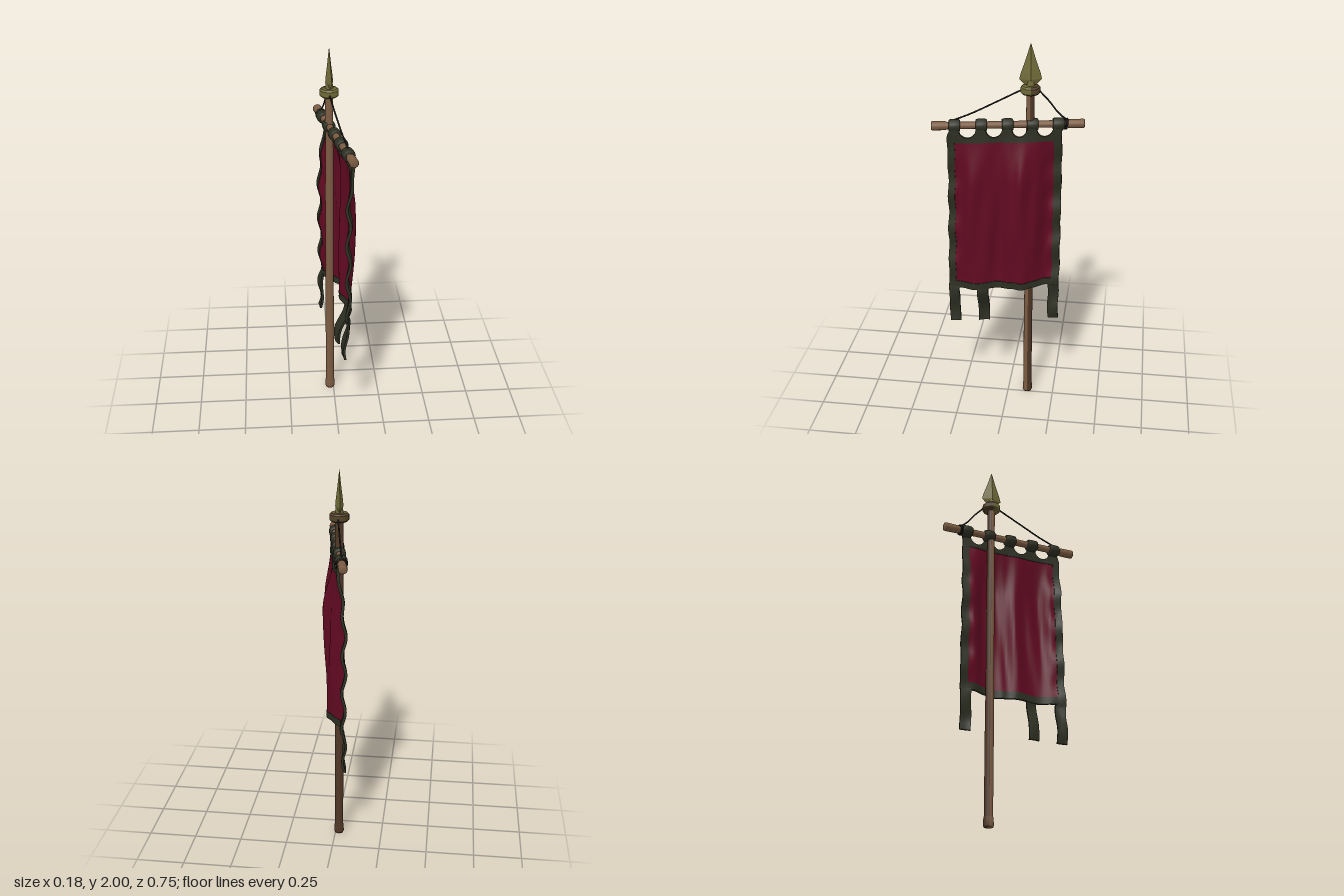
import * as THREE from 'three';

const mat = (name, color) => new THREE.MeshStandardMaterial({ name, color });
const V = (x, y, z) => new THREE.Vector3(x, y, z);
const { clamp, smoothstep, lerp } = THREE.MathUtils;

const BAR_Y = 1.59, POLE_X = -0.019, POLE_Z = -0.107;
const TABS = [0.26, 0.13, 0.003, -0.118, -0.245];

// x of the crossbar's axis at a given z
const barX = (z) => 0.18 * z - 0.001;

// Depth of the cloth folds across the banner: [z, offset from the bar]
const FOLDS = [
  [-0.28, -0.012], [-0.2, -0.016], [-0.13, 0.046], [-0.07, 0.074], [-0.02, 0.058],
  [0.04, 0.022], [0.11, 0.046], [0.18, 0.053], [0.24, 0.014], [0.32, -0.01],
];
function fold(z) {
  let i = 0;
  while (i < FOLDS.length - 2 && z > FOLDS[i + 1][0]) i++;
  const [z0, a] = FOLDS[i], [z1, b] = FOLDS[i + 1];
  return lerp(a, b, smoothstep(clamp(z, z0, z1), z0, z1));
}

// x of the hanging cloth at (y, z)
function clothX(y, z) {
  const drop = smoothstep(1.58 - y, 0, 0.3);
  const lower = 1 - 0.25 * smoothstep(1.1 - y, 0, 0.42);
  let off = lerp(0.02, fold(z) * lower, drop);
  off = lerp(off, -0.02, smoothstep(0.69 - y, 0, 0.22));
  const edge = smoothstep(Math.abs(z - 0.02), 0.19, 0.26);
  off += drop * edge * 0.01 * Math.sin(y * 31 + z * 5);
  off += drop * (1 - edge) * 0.005 * Math.sin(z * 55 + y * 9);
  if (y < 0.68) off += 0.006 * Math.sin((0.68 - y) * 28 + z * 9);
  return barX(z) + off;
}

// A thin slab of cloth bent along the folds; top(z) may shape its upper edge
function cloth(z0, z1, y0, y1, thick, top) {
  const ny = Math.max(2, Math.ceil((y1 - y0) / 0.018));
  const nz = Math.max(3, Math.ceil((z1 - z0) / (top ? 0.006 : 0.012)));
  const g = new THREE.BoxGeometry(thick, 1, 1, 1, ny, nz);
  const p = g.attributes.position;
  for (let i = 0; i < p.count; i++) {
    const z = lerp(z0, z1, p.getZ(i) + 0.5);
    const y = lerp(y0, top ? top(z) : y1, p.getY(i) + 0.5);
    const flare = 0.014 * smoothstep(z, 0.15, 0.28) * clamp((1.55 - y) / 0.85, 0, 1);
    const ragged = Math.abs(z - 0.02) > 0.2 ? 0.002 * Math.sin(y * 38) : 0;
    p.setXYZ(i, clothX(y, z) + p.getX(i), y, z + flare + ragged);
  }
  g.computeVertexNormals();
  return g;
}

const lathe = (pts, n, start = 0, length = Math.PI * 2) =>
  new THREE.LatheGeometry(pts.map(([r, y]) => new THREE.Vector2(r, y)), n, start, length);
function flat(g) {
  const f = g.toNonIndexed();
  f.computeVertexNormals();
  return f;
}

export function createModel() {
  const root = new THREE.Group();
  root.name = 'banner';
  const wood = mat('wood', 0x7b5b42);
  const darkWood = mat('weathered wood', 0x4f3726);
  const red = mat('crimson cloth', 0x620a22);
  const green = mat('dark green trim', 0x2d2f22);
  const brass = mat('old brass', 0x716a38);
  const darkBrass = mat('tarnished brass', 0x54432a);
  const cord = mat('dark cord', 0x20201a);

  const add = (name, geo, m, parent = root) => {
    const mesh = new THREE.Mesh(geo, m);
    mesh.name = name;
    parent.add(mesh);
    return mesh;
  };

  // Upright pole with a thicker foot, weathered on the rear half
  const polePoints = [
    [0, 0], [0.023, 0], [0.026, 0.008], [0.025, 0.045], [0.022, 0.052], [0.023, 0.4],
    [0.021, 0.8], [0.022, 1.2], [0.02, 1.5], [0.02, 1.76], [0, 1.76],
  ];
  for (const [name, start, m] of [['poleFront', -Math.PI / 2, wood], ['poleBack', Math.PI / 2, darkWood]])
    add(name, lathe(polePoints, 8, start, Math.PI), m).position.set(POLE_X, 0, POLE_Z);

  // Brass collar, tarnished behind, and a flat four-edged spearhead in line with the bar
  const finial = new THREE.Group();
  finial.name = 'finial';
  finial.position.set(POLE_X, 0, POLE_Z);
  finial.rotation.y = 0.18;
  root.add(finial);
  const collarPoints = [
    [0, 1.748], [0.04, 1.748], [0.048, 1.756], [0.048, 1.782], [0.04, 1.79], [0, 1.79],
  ];
  add('collarFront', flat(lathe(collarPoints, 6, -Math.PI / 2, Math.PI)), brass, finial);
  add('collarBack', flat(lathe(collarPoints, 6, Math.PI / 2, Math.PI)), darkBrass, finial);
  add('spearSocket', lathe([[0.021, 1.78], [0.018, 1.81], [0.011, 1.87], [0, 1.9]], 10), brass, finial);
  const blade = lathe([
    [0, 1.788], [0.028, 1.795], [0.055, 1.822], [0.048, 1.852], [0.026, 1.915], [0.011, 1.965], [0, 2],
  ], 4);
  blade.scale(0.36, 1, 1);
  add('spearhead', flat(blade), brass, finial);

  // Crossbar; its local y runs along the bar toward the front
  const bar = new THREE.Group();
  bar.name = 'crossbarGroup';
  bar.position.set(0, BAR_Y, 0);
  const dir = V(0.18, 0, 1).normalize();
  bar.quaternion.setFromUnitVectors(V(0, 1, 0), dir);
  root.add(bar);
  const L = 0.379;
  add('crossbar', lathe([
    [0, -L], [0.019, -L], [0.023, -L + 0.006], [0.022, -L + 0.08], [0.018, -L + 0.09], [0.018, 0],
    [0.018, L - 0.08], [0.022, L - 0.07], [0.023, L - 0.006], [0.019, L], [0, L],
  ], 14), wood, bar);

  // Cloth loops around the bar
  for (const z of TABS) {
    const h = 0.028;
    add('clothLoop', lathe([
      [0.017, -h], [0.027, -h], [0.031, -h * 0.75], [0.032, 0], [0.031, h * 0.75], [0.027, h], [0.017, h],
    ], 14), green, bar).position.y = z / dir.z;
  }

  // Red field
  add('bannerField', cloth(-0.232, 0.265, 0.705, 1.515, 0.008), red);

  // Trim: scalloped top hem, sides and bottom hem
  const scallop = (z) => {
    const d = Math.min(...TABS.map((t) => Math.abs(z - t)));
    const u = clamp((0.063 - d) / 0.04, -1, 1);
    return 1.578 - 0.047 * Math.sqrt(1 - u * u);
  };
  add('topHem', cloth(-0.266, 0.29, 1.506, 1.58, 0.015, scallop), green);
  add('sideHemFront', cloth(0.257, 0.293, 0.68, 1.54, 0.015), green);
  add('sideHemBack', cloth(-0.266, -0.226, 0.68, 1.54, 0.015), green);
  add('bottomHem', cloth(-0.266, 0.293, 0.68, 0.718, 0.0145), green);

  // Hanging streamers
  for (const [z0, z1] of [[0.243, 0.296], [0.1, 0.156], [-0.264, -0.208]])
    add('streamer', cloth(z0, z1, 0.46, 0.69, 0.012), green);

  // Support cords from the collar to the bar, each tied with two turns
  for (const [zEnd, s] of [[0.272, 1], [-0.278, -1]]) {
    const zc = POLE_Z + s * 0.044;
    const path = new THREE.CatmullRomCurve3([
      V(POLE_X, 1.765, zc),
      V(lerp(POLE_X, barX(zEnd), 0.35), 1.705 - (s > 0 ? 0.002 : -0.004), lerp(zc, zEnd, 0.38)),
      V(lerp(POLE_X, barX(zEnd), 0.7), 1.65, lerp(zc, zEnd, 0.72)),
      V(barX(zEnd), BAR_Y + 0.025, zEnd),
    ]);
    add('supportCord', new THREE.TubeGeometry(path, 20, 0.0042, 6), cord);
    for (const k of [0, 0.007]) {
      const knot = add('cordKnot', new THREE.TorusGeometry(0.026, 0.004, 6, 16), cord, bar);
      knot.rotation.x = Math.PI / 2 + 0.12 * s;
      knot.position.y = (zEnd + s * k) / dir.z;
    }
  }

  return root;
}
